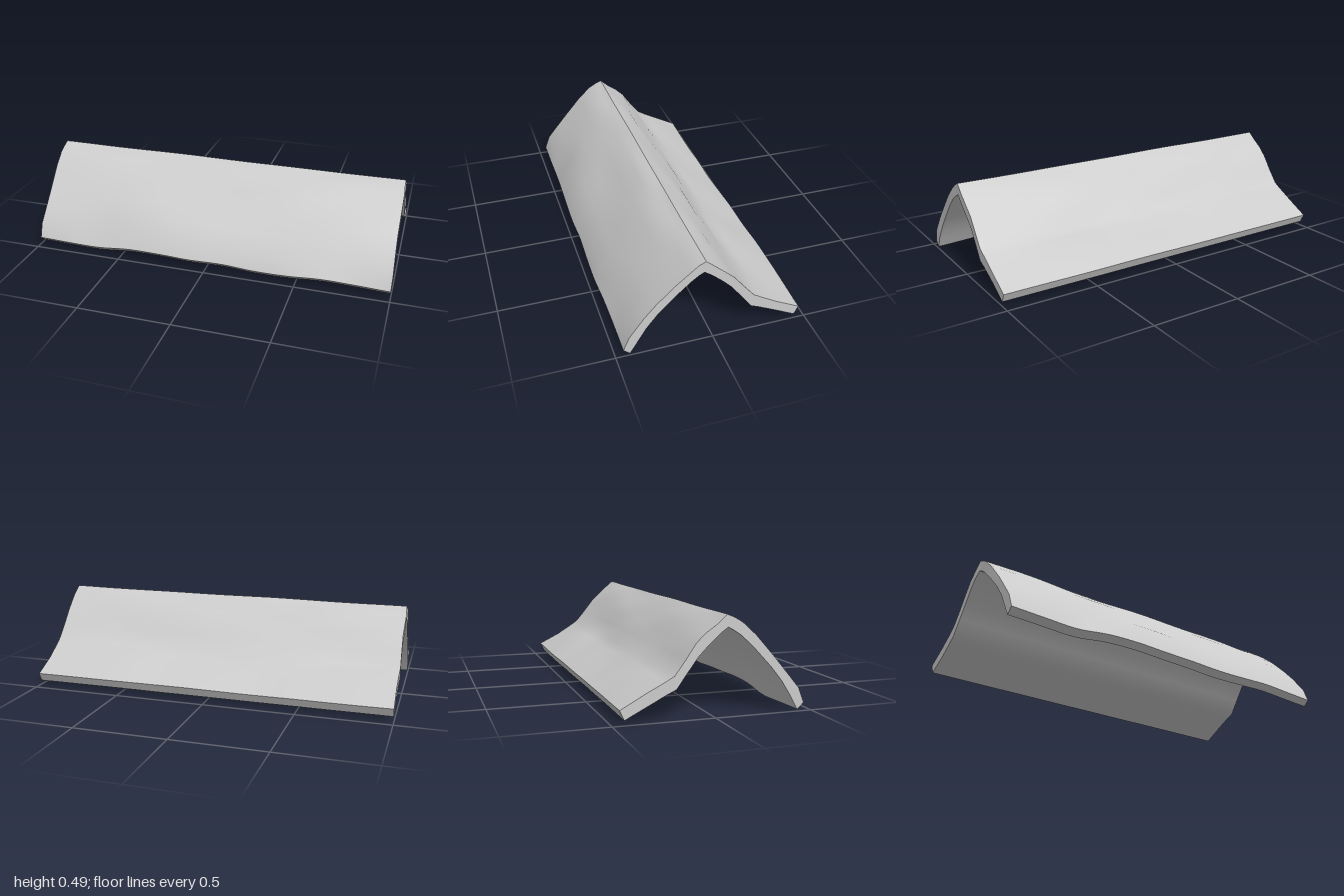
import * as THREE from 'three';
import { toCreasedNormals } from 'three/addons/utils/BufferGeometryUtils.js';

// Cross-section stations, front lip to back lip: outer z, y, inner z, y
const PROFILE = [
  [0.468, 0.032, 0.434, 0.002],
  [0.43, 0.105, 0.395, 0.07],
  [0.36, 0.205, 0.345, 0.15],
  [0.295, 0.28, 0.285, 0.225],
  [0.2, 0.378, 0.19, 0.325],
  [0.13, 0.443, 0.125, 0.385],
  [0.09, 0.466, 0.085, 0.412],
  [0.053, 0.484, 0.058, 0.426],
  [0.005, 0.448, 0.02, 0.4],
  [-0.045, 0.405, -0.03, 0.355],
  [-0.095, 0.352, -0.085, 0.298],
  [-0.15, 0.283, -0.14, 0.225],
  [-0.205, 0.212, -0.195, 0.15],
  [-0.25, 0.185, -0.24, 0.129],
  [-0.34, 0.14, -0.33, 0.083],
  [-0.467, 0.073, -0.445, 0.026],
];
const STEPS = 64;

// Smooth function of x through evenly spaced values
function wave(values) {
  const curve = new THREE.SplineCurve(values.map((v, i) => new THREE.Vector2(i, v)));
  return (x) => curve.getPoint((x + 1) / 2).y;
}
const frontLip = wave([0.008, 0.003, 0, 0.02, 0.024, 0.018, 0.017, 0.008, 0.011, 0.02, 0.014, 0.007]);
const frontReach = wave([-0.008, -0.008, -0.01, -0.004, 0.003, 0.004, -0.003, 0, 0.003, -0.002, -0.006, -0.007]);
const backReach = wave([0.002, 0.004, 0.006, 0.004, 0.006, 0.002, -0.001, 0, -0.006, -0.005, -0.001, 0.003]);

// Gentle hand-worked bumps on the outer face
const bump = (x, i) => 0.005 * Math.sin(5.2 * x + i * 1.3) + 0.004 * Math.sin(9.5 * x - i * 2.1);

// Closed ring of points at one x: outer face, then inner face reversed
function section(x) {
  const last = PROFILE.length - 1;
  const outer = [], inner = [];
  PROFILE.forEach(([oz, oy, iz, iy], i) => {
    const f = Math.max(0, 1 - i / 3), b = Math.max(0, (i - last + 3) / 3);
    const dz = frontReach(x) * f + backReach(x) * b;
    const dy = frontLip(x) * f - backReach(x) * b * 0.5;
    const nz = oz - iz, ny = oy - iy, n = Math.hypot(nz, ny);
    const lip = i === 0 || i === last;
    const k = lip || i === 7 ? 0.2 : 0.8;
    const h = k * bump(x, i) + (lip ? 0 : 0.003);
    const endX = Math.abs(x) === 1 ? x * (0.998 + 0.002 * Math.sin(i * 1.7)) : x;
    outer.push([endX, oy + dy + (h * ny) / n, oz + dz + (h * nz) / n]);
    inner.push([endX, iy + dy, iz + dz]);
  });
  return [...outer, ...inner.reverse()];
}

function shellGeometry() {
  const positions = [], index = [];
  const count = PROFILE.length * 2;
  for (let j = 0; j <= STEPS; j++) positions.push(...section(-1 + (2 * j) / STEPS).flat());
  const quad = (a, b, c, d) => index.push(a, b, c, a, c, d);
  // Faces along the length
  for (let j = 0; j < STEPS; j++) {
    for (let i = 0; i < count; i++) {
      const k = (i + 1) % count, r = j * count, s = r + count;
      quad(r + i, s + i, s + k, r + k);
    }
  }
  // End faces
  const e = STEPS * count;
  for (let i = 0; i < PROFILE.length - 1; i++) {
    const p = count - 1 - i;
    quad(e + i, e + p, e + p - 1, e + i + 1);
    quad(i, i + 1, p - 1, p);
  }
  const geometry = new THREE.BufferGeometry();
  geometry.setAttribute('position', new THREE.Float32BufferAttribute(positions, 3));
  geometry.setIndex(index);
  return toCreasedNormals(geometry, 0.7);
}

export function createModel() {
  const group = new THREE.Group();
  group.name = 'ridgeCap';
  const shell = new THREE.Mesh(shellGeometry(), new THREE.MeshStandardMaterial({ color: 0xcccccc }));
  shell.name = 'bentShell';
  group.add(shell);
  return group;
}
